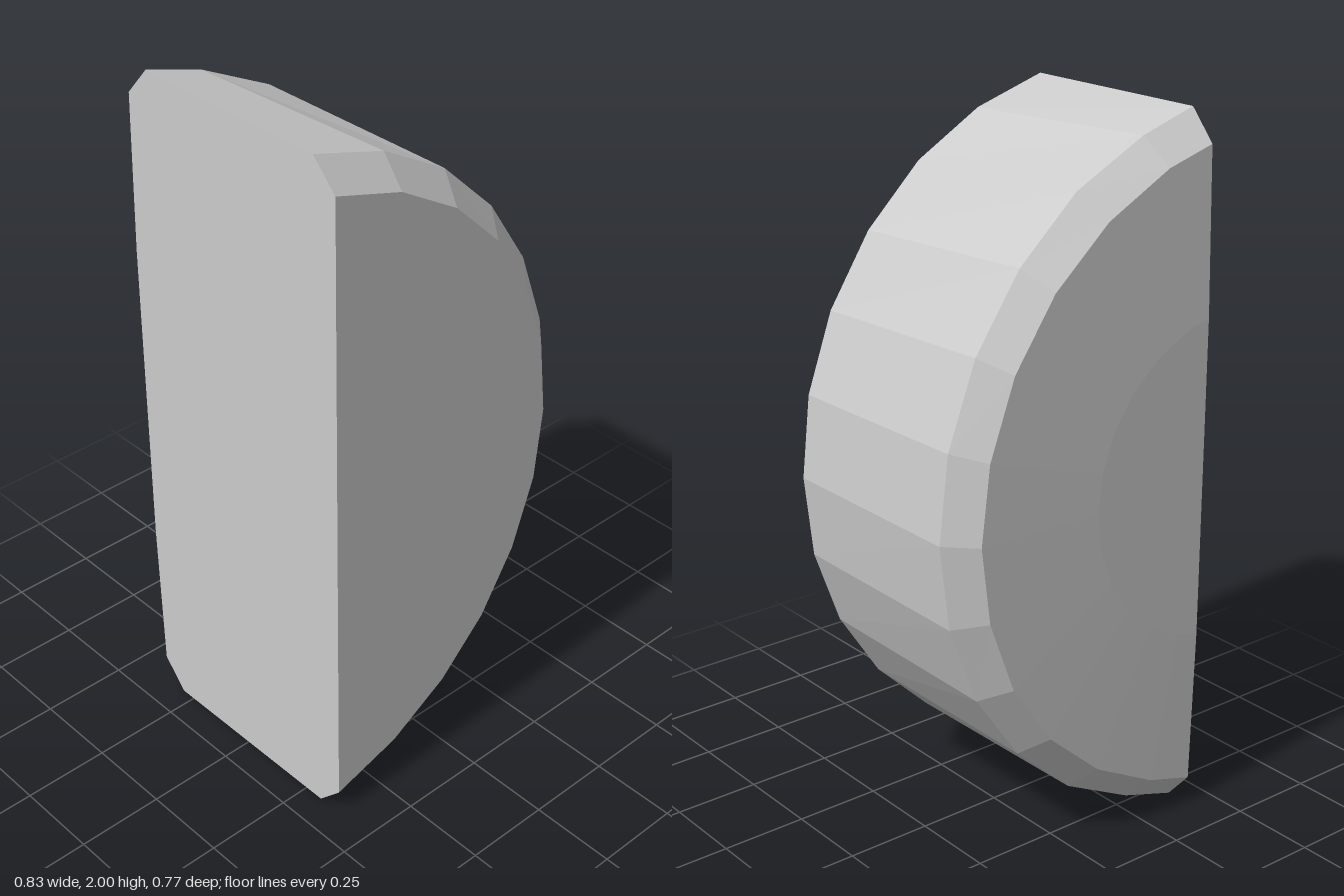
import * as THREE from 'three';

const LEFT = -0.413;

// Mirrors the upper half of an arc (top to apex) about y = 1 and sets it at depth z
function ring(upper, z) {
  const lower = upper.slice(0, -1).reverse().map(([x, y]) => [x, 2 - y]);
  return [...upper, ...lower].map(([x, y]) => [x, y, z]);
}

// Shrinks a ring toward the middle of the straight edge
function shrink(points, s, z) {
  return points.map(([x, y]) => [LEFT + (x - LEFT) * s, 1 + (y - 1) * s, z]);
}

// Skins a stack of rings from front to back and closes both ends
function loft(rings) {
  const pos = [];
  const tri = (...corners) => corners.forEach((p) => pos.push(...p));
  const n = rings[0].length;
  for (let r = 0; r < rings.length - 1; r++) {
    const a = rings[r], b = rings[r + 1];
    for (let i = 0; i < n; i++) {
      const j = (i + 1) % n;
      tri(a[i], a[j], b[i]);
      tri(a[j], b[j], b[i]);
    }
  }
  const front = rings[0], back = rings[rings.length - 1];
  const cf = [LEFT, 1, front[0][2]], cb = [LEFT, 1, back[0][2]];
  for (let i = 0; i < n - 1; i++) {
    tri(cf, front[i + 1], front[i]);
    tri(cb, back[i], back[i + 1]);
  }
  const geo = new THREE.BufferGeometry();
  geo.setAttribute('position', new THREE.Float32BufferAttribute(pos, 3));
  geo.computeVertexNormals();
  return geo;
}

export function createModel() {
  const group = new THREE.Group();
  group.name = 'halfDisc';

  // Flat front face, chamfer, and the rim that fans slightly toward the back
  const frontFace = ring([[LEFT, 1.922], [-0.205, 1.858], [-0.02, 1.747], [0.13, 1.6],
    [0.242, 1.42], [0.314, 1.215], [0.338, 1]], 0.384);
  const frontRim = ring([[LEFT, 2], [-0.193, 1.932], [0.01, 1.815], [0.18, 1.65],
    [0.308, 1.452], [0.387, 1.232], [0.413, 1]], 0.309);
  const backRim = ring([[LEFT, 2], [-0.243, 1.947], [-0.024, 1.837], [0.158, 1.672],
    [0.297, 1.47], [0.384, 1.24], [0.413, 1]], -0.296);
  const backFace = ring([[LEFT, 1.915], [-0.267, 1.873], [-0.066, 1.767], [0.105, 1.616],
    [0.233, 1.43], [0.311, 1.218], [0.338, 1]], -0.371);

  // Back face bulges very slightly
  const bulge = shrink(backFace, 0.5, -0.383);

  const body = new THREE.Mesh(
    loft([frontFace, frontRim, backRim, backFace, bulge]),
    new THREE.MeshStandardMaterial({ color: 0xcccccc, flatShading: true })
  );
  body.name = 'chamferedBody';
  group.add(body);
  return group;
}
